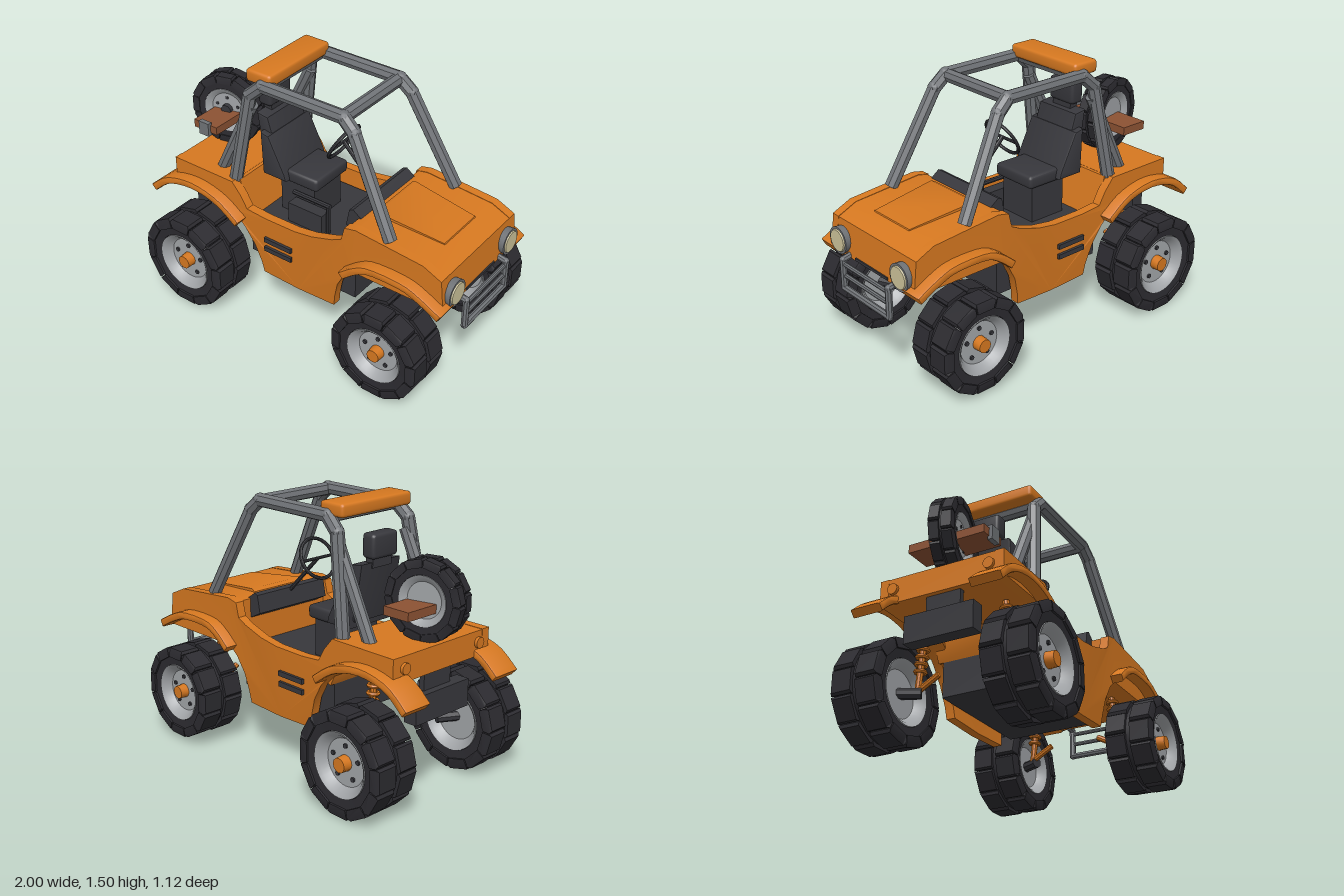
import * as THREE from 'three';
import { toCreasedNormals } from 'three/addons/utils/BufferGeometryUtils.js';
import { RoundedBoxGeometry } from 'three/addons/geometries/RoundedBoxGeometry.js';

const paint = (name, color) => {
  const m = new THREE.MeshStandardMaterial({ color });
  m.name = name;
  return m;
};
const V = (x, y, z) => new THREE.Vector3(x, y, z);

export function createModel() {
  const orange = paint('orangePaint', 0xd67820);
  const dark = paint('darkPlastic', 0x37373c);
  const rubber = paint('tyreRubber', 0x2c2b30);
  const steel = paint('cageSteel', 0x707377);
  const alloy = paint('rimAlloy', 0xa2a5a8);
  const lens = paint('lampLens', 0xcfc59c);
  const brown = paint('brownLeather', 0x8c5233);

  const model = new THREE.Group();
  model.name = 'buggy';

  const add = (parent, name, geo, mat, x = 0, y = 0, z = 0) => {
    const m = new THREE.Mesh(toCreasedNormals(geo, 0.6), mat);
    m.name = name;
    m.position.set(x, y, z);
    parent.add(m);
    return m;
  };
  // box given by its limits
  const box = (parent, name, mat, x0, x1, y0, y1, z0, z1, r = 0) => {
    const s = [x1 - x0, y1 - y0, z1 - z0];
    const g = r ? new RoundedBoxGeometry(...s, 2, r) : new THREE.BoxGeometry(...s);
    return add(parent, name, g, mat, (x0 + x1) / 2, (y0 + y1) / 2, (z0 + z1) / 2);
  };
  // side profile extruded between two z values, with an optional small bevel
  const slab = (parent, name, mat, pts, z0, z1, bevel = 0, bend = null) => {
    const shape = new THREE.Shape(pts.map(p => new THREE.Vector2(...p)));
    const g = new THREE.ExtrudeGeometry(shape, {
      depth: z1 - z0 - 2 * bevel, bevelEnabled: bevel > 0, bevelThickness: bevel,
      bevelSize: bevel, bevelOffset: -bevel, bevelSegments: 2,
    });
    g.translate(0, 0, z0 + bevel);
    if (bend) {
      const p = g.attributes.position;
      for (let i = 0; i < p.count; i++) p.setZ(i, bend(p.getX(i), p.getY(i), p.getZ(i)));
    }
    return add(parent, name, g, mat);
  };
  const bar = (parent, name, mat, a, b, r, sides = 8) => {
    const d = b.clone().sub(a);
    const m = add(parent, name, new THREE.CylinderGeometry(r, r, d.length(), sides), mat);
    m.position.copy(a).addScaledVector(d, 0.5);
    m.quaternion.setFromUnitVectors(V(0, 1, 0), d.normalize());
    return m;
  };
  const pipe = (parent, name, mat, pts, r) => {
    for (let i = 1; i < pts.length; i++) {
      bar(parent, name, mat, pts[i - 1], pts[i], r);
      if (i < pts.length - 1)
        add(parent, name + 'Bend', new THREE.SphereGeometry(r * 1.01, 10, 8), mat, ...pts[i].toArray());
    }
  };

  // Body sides, leaning in below the waist
  const side = [[-.85, .7], [-.55, .7], [-.44, .66], [-.35, .57], [-.29, .47], [-.255, .36], [-.245, .29],
    [0, .28], [.245, .29], [.255, .36], [.28, .46], [.33, .55], [.39, .6], [.94, .6], [.92, .79], [.81, .84],
    [.4, .875], [.33, .86], [.31, .78], [.25, .75], [.12, .71], [0, .692], [-.2, .69], [-.33, .7], [-.37, .77],
    [-.43, .84], [-.85, .84]];
  const lean = (x, y, z) => z - Math.sign(z) * Math.max(0, .55 - y) * .1;
  slab(model, 'leftSide', orange, side, .31, .362, 0, lean);
  slab(model, 'rightSide', orange, side, -.362, -.31, 0, lean);

  // Nose, bonnet, rear deck and bulkhead
  slab(model, 'nose', orange, [[.34, .6], [.938, .6], [.918, .788], [.808, .838], [.4, .872], [.34, .86]], -.33, .33);
  slab(model, 'bonnetPanel', orange, [[.385, .82], [.82, .8], [.8, .845], [.41, .888], [.385, .875]], -.175, .175, 0,
    (x, y, z) => z * (1.04 - (x - .385) * .45));
  slab(model, 'rearDeck', orange, [[-.848, .7], [-.43, .7], [-.43, .838], [-.848, .838]], -.33, .33);
  slab(model, 'bulkhead', orange, [[-.43, .68], [-.37, .56], [-.34, .57], [-.41, .837], [-.43, .837]], -.315, .315);
  box(model, 'floorTub', dark, -.37, .35, .36, .6, -.285, .285);
  slab(model, 'dashboard', dark, [[.26, .79], [.36, .74], [.36, .86], [.305, .9], [.28, .89]], -.25, .25);
  box(model, 'frontGrille', dark, .936, .943, .605, .62, -.14, .14);
  box(model, 'engine', dark, -.86, -.78, .45, .6, -.2, .2);
  box(model, 'engineMount', dark, -.82, -.79, .58, .72, -.1, .1);

  // Fenders: arched strips over the wheels
  const fender = (name, top, z0, z1) => {
    const upper = new THREE.SplineCurve(top.map(p => new THREE.Vector2(...p))).getPoints(14);
    const lower = upper.map((p, i) => {
      const t = upper[Math.min(i + 1, 14)].clone().sub(upper[Math.max(i - 1, 0)]).normalize();
      return [p.x + t.y * .045, p.y - t.x * .045];
    });
    slab(model, name, orange, [...lower, ...upper.reverse().map(p => [p.x, p.y])], z0, z1, .012);
  };
  const rearArch = [[-1, .63], [-.87, .73], [-.68, .768], [-.49, .73], [-.345, .635]];
  const frontArch = [[.335, .615], [.43, .69], [.53, .73], [.73, .73], [.85, .69], [.965, .63]];
  for (const s of [1, -1]) {
    const a = s > 0 ? .25 : -.43, b = s > 0 ? .43 : -.25;
    fender('rearFender', rearArch, a, b);
    fender('frontFender', frontArch, a, b);
  }

  // Wheels: carcass, two staggered rows of lugs, dished rims, hub and bolts; axis along z
  const wheel = (name, R, w, hubMat, parent = model) => {
    const g = new THREE.Group();
    g.name = name;
    parent.add(g);
    const h = w / 2, ri = R * .6;
    const profile = [[ri, -h * .7], [ri * 1.04, -h * .88], [R * .84, -h * .92], [R * .92, -h * .75], [R * .92, h * .75],
      [R * .84, h * .92], [ri * 1.04, h * .88], [ri, h * .7]].map(p => new THREE.Vector2(...p));
    const carcass = new THREE.LatheGeometry(profile, 36);
    add(g, 'tyre', carcass.rotateX(Math.PI / 2), rubber);
    const n = 12, half = R * Math.tan(Math.PI / n) * .9;
    for (const s of [1, -1]) for (let i = 0; i < n; i++) {
      const lug = new THREE.Shape([[-half * .8, R * .78], [half * .8, R * .78], [half, R * .93], [half * .85, R * .985],
        [-half * .85, R * .985], [-half, R * .93]].map(p => new THREE.Vector2(...p)));
      const geo = new THREE.ExtrudeGeometry(lug, { depth: h * .88, bevelEnabled: false });
      const p = geo.attributes.position;
      // the shoulder edge slopes in toward the crown
      for (let k = 0; k < p.count; k++) {
        const outer = p.getZ(k) > h * .5, crown = p.getY(k) > R * .95;
        p.setZ(k, outer ? h * (crown ? .93 : 1) : h * .1);
      }
      const m = add(g, 'treadLug', geo, rubber);
      if (s < 0) m.rotation.y = Math.PI;
      const spin = new THREE.Group();
      spin.name = 'lugSpoke';
      spin.rotation.z = (i + (s > 0 ? 0 : .5)) * Math.PI * 2 / n;
      spin.add(m);
      g.add(spin);
    }
    const dish = [[0, -h * .55], [ri * .75, -h * .55], [ri * .9, -h * .8], [ri * 1.03, -h * .92], [ri * 1.03, h * .92],
      [ri * .9, h * .8], [ri * .75, h * .55], [0, h * .55]].map(p => new THREE.Vector2(...p));
    add(g, 'rim', new THREE.LatheGeometry(dish, 36).rotateX(Math.PI / 2), alloy);
    add(g, 'hub', new THREE.CylinderGeometry(R * .14, R * .15, h * .4, 12).rotateX(Math.PI / 2), hubMat, 0, 0, h * .72);
    for (let i = 0; i < 5; i++) {
      const a = Math.PI / 2 + i * Math.PI * 2 / 5;
      add(g, 'wheelBolt', new THREE.CylinderGeometry(R * .045, R * .045, h * .08, 8).rotateX(Math.PI / 2), dark,
        Math.cos(a) * R * .32, Math.sin(a) * R * .32, h * .58);
    }
    return g;
  };
  for (const s of [1, -1]) for (const [name, x, y, R] of [['frontWheel', .65, .292, .264], ['rearWheel', -.67, .286, .284]]) {
    const w = wheel(name, R, .274, orange);
    w.position.set(x, y, s * .422);
    if (s < 0) w.rotation.y = Math.PI;
  }

  // Suspension: coil struts and lower arms
  for (const s of [1, -1]) for (const x of [.6, -.61]) {
    const top = V(x, .69, s * .235), foot = V(x, .29, s * .275);
    bar(model, 'strut', orange, top, foot, .018);
    const dir = foot.clone().sub(top).normalize();
    for (let i = 0; i < 7; i++) {
      const ring = add(model, 'strutCoil', new THREE.TorusGeometry(.027, .011, 6, 14), orange);
      ring.position.lerpVectors(top, foot, .1 + i * .1);
      ring.quaternion.setFromUnitVectors(V(0, 0, 1), dir);
    }
    bar(model, 'lowerArm', orange, V(x, .375, s * .15), V(x, .3, s * .285), .017);
    bar(model, 'axleStub', dark, V(x, .29, s * .25), V(x > 0 ? .65 : -.67, .29, s * .36), .03);
  }

  // Roll cage
  for (const s of [1, -1]) {
    pipe(model, 'cageHoop', steel, [V(-.45, .82, s * .305), V(-.36, 1.36, s * .26), V(-.28, 1.432, s * .25),
      V(.24, 1.432, s * .25), V(.31, 1.37, s * .257), V(.58, .86, s * .31)], .038);
    bar(model, 'cageBrace', steel, V(-.59, .82, s * .25), V(-.355, 1.3, s * .25), .036);
  }
  for (const x of [-.28, .235]) bar(model, 'cageCrossbar', steel, V(x, 1.427, -.25), V(x, 1.427, .25), .037);
  box(model, 'roofPod', orange, -.39, -.225, 1.43, 1.503, -.255, .255, .018);

  // Seat
  box(model, 'seatBase', dark, -.28, -.05, .6, .82, -.12, .12);
  box(model, 'seatCushion', dark, -.3, -.015, .81, .885, -.145, .145, .02);
  const back = [[-.36, .83], [-.2, .83], [-.21, .87], [-.315, 1.08], [-.37, 1.09]];
  slab(model, 'seatBolster', dark, back, -.182, .182, .012);
  slab(model, 'seatBack', dark, [[-.37, .86], [-.25, .86], [-.345, 1.17], [-.42, 1.18]], -.145, .145, .012);
  box(model, 'headrestPost', dark, -.425, -.375, 1.15, 1.24, -.07, .07);
  box(model, 'headrest', dark, -.452, -.365, 1.2, 1.333, -.092, .092, .02);
  box(model, 'centreConsole', dark, -.17, .06, .6, .72, .13, .2);
  bar(model, 'handbrake', dark, V(-.16, .775, .16), V(.09, .775, .16), .014);
  bar(model, 'gearLever', dark, V(.075, .6, .16), V(.075, .78, .16), .012);

  // Steering
  const wheelCentre = V(.06, 1.1, 0);
  const ringAxis = V(-.88, .48, 0).normalize();
  const steering = add(model, 'steeringWheel', new THREE.TorusGeometry(.115, .01, 8, 28), dark, ...wheelCentre.toArray());
  steering.quaternion.setFromUnitVectors(V(0, 0, 1), ringAxis);
  bar(model, 'steeringColumn', dark, V(.06, 1.1, 0), V(.3, .86, 0), .012);
  bar(model, 'steeringSpoke', dark, V(.06, 1.1, -.112), V(.06, 1.1, .112), .009);

  // Side vents
  for (const s of [1, -1]) for (const y of [.488, .548])
    box(model, 'sideVent', dark, -.21, -.025, y - .014, y + .014, s * .363 - .008, s * .363 + .008);

  // Lamps
  for (const s of [1, -1]) {
    add(model, 'headlampRim', new THREE.CylinderGeometry(.076, .07, .06, 20).rotateZ(-Math.PI / 2), steel, .93, .68, s * .266);
    add(model, 'headlampLens', new THREE.CylinderGeometry(.06, .064, .008, 20).rotateZ(-Math.PI / 2), lens, .963, .68, s * .266);
    add(model, 'tailLamp', new THREE.CylinderGeometry(.03, .03, .03, 12).rotateZ(Math.PI / 2), orange, -.85, .775, s * .28);
  }

  // Front bumper frame
  const frame = [V(.93, .61, .2), V(.978, .6, .2), V(.978, .435, .2), V(.978, .435, -.2), V(.978, .6, -.2), V(.93, .61, -.2)];
  pipe(model, 'bumperFrame', steel, frame, .019);
  for (const y of [.51, .575]) bar(model, 'bumperBar', steel, V(.975, y, -.2), V(.975, y, .2), .013);

  // Spare wheel with its strapped-on bracket
  const spare = wheel('spareWheel', .215, .13, dark);
  spare.position.set(-.74, 1.044, 0);
  spare.rotation.y = .22;
  box(model, 'spareBracket', brown, -.815, -.65, .988, 1.035, -.225, .225);
  box(model, 'bracketClasp', steel, -.765, -.695, .97, 1.05, .215, .243);

  return model;
}
